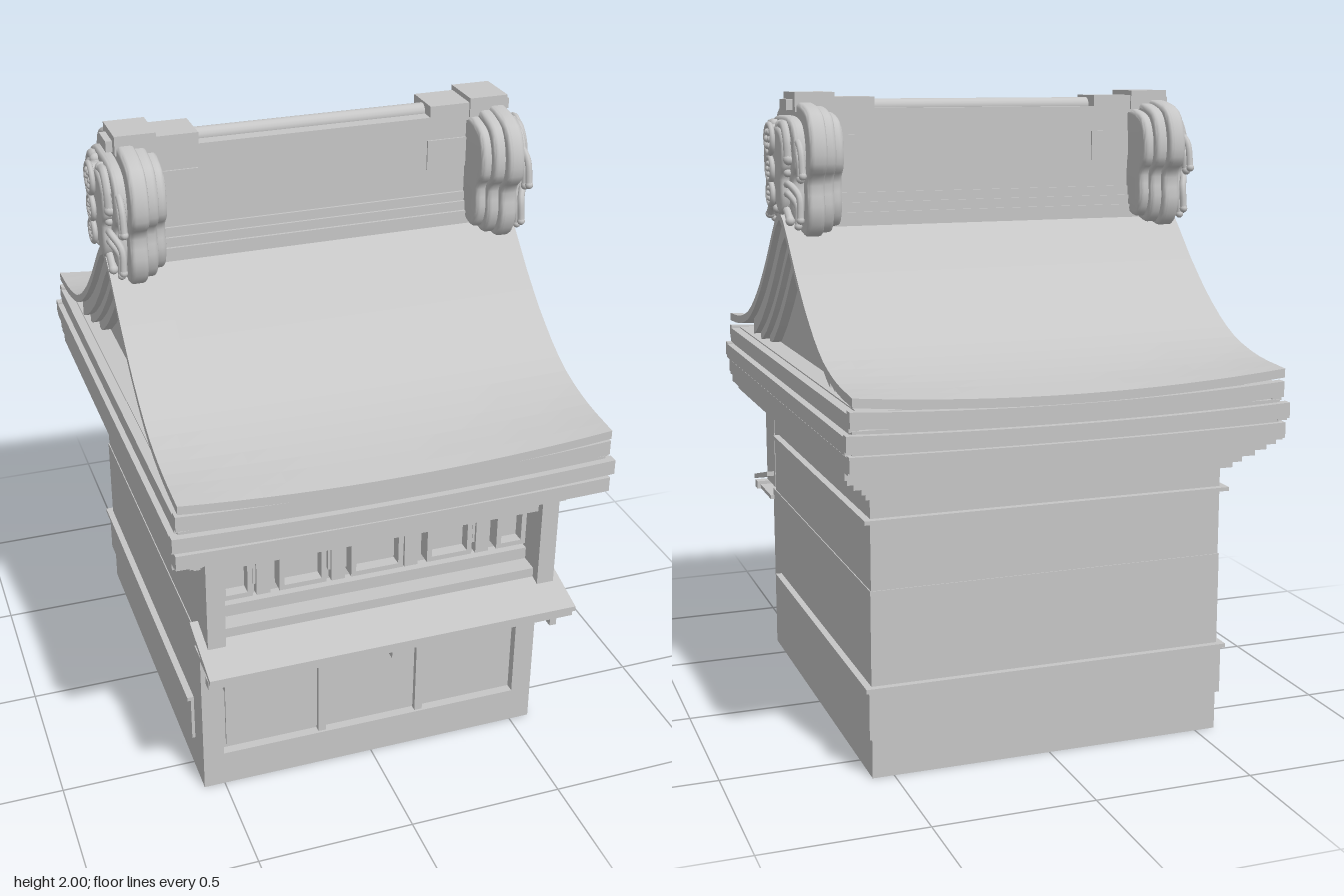
import * as THREE from 'three';
import { toCreasedNormals } from 'three/addons/utils/BufferGeometryUtils.js';

const plaster = new THREE.MeshStandardMaterial({ color: 0xc6c6c6 });
plaster.name = 'plain grey';

function add(parent, name, geometry) {
  const mesh = new THREE.Mesh(geometry, plaster);
  mesh.name = name;
  parent.add(mesh);
  return mesh;
}

// Box given by its limits on each axis
function box(parent, name, x0, x1, y0, y1, z0, z1) {
  const g = new THREE.BoxGeometry(x1 - x0, y1 - y0, z1 - z0);
  g.translate((x0 + x1) / 2, (y0 + y1) / 2, (z0 + z1) / 2);
  return add(parent, name, g);
}

// Solid from a (z, y) outline, running along x from x0 to x1
function slice(points, x0, x1, steps = 1, bevel = 0) {
  const shape = new THREE.Shape(points.map(([z, y]) => new THREE.Vector2(z, y)));
  const g = new THREE.ExtrudeGeometry(shape, {
    depth: x1 - x0 - 2 * bevel, steps, bevelEnabled: bevel > 0, bevelSize: bevel,
    bevelThickness: bevel, bevelOffset: -bevel, bevelSegments: 3,
  });
  g.translate(0, 0, bevel - (x1 - x0) / 2);
  g.rotateY(-Math.PI / 2);
  g.translate((x0 + x1) / 2, 0, 0);
  return bevel ? toCreasedNormals(g, 0.7) : g;
}

// Moves vertices up by a rule of x and z
function lift(g, rule) {
  const p = g.attributes.position;
  for (let i = 0; i < p.count; i++) p.setY(i, p.getY(i) + rule(p.getX(i), p.getZ(i)));
  g.computeVertexNormals();
  return g;
}

// Concave roof line
const roofLine = [[0, 1.635], [0.05, 1.61], [0.1, 1.565], [0.2, 1.465], [0.3, 1.378], [0.4, 1.307],
  [0.5, 1.252], [0.6, 1.222], [0.7, 1.205], [0.835, 1.197]];
function roofY(z) {
  const a = Math.abs(z);
  for (let i = 1; i < roofLine.length; i++) {
    const [z0, y0] = roofLine[i - 1], [z1, y1] = roofLine[i];
    if (a <= z1) return y0 + (y1 - y0) * (a - z0) / (z1 - z0);
  }
  return 1.197;
}

// Band following the roof line between two drops, cut off at a floor
function roofBand(reach, dropTop, dropBottom, floor) {
  const n = 32, top = [], bottom = [];
  for (let i = 0; i <= n; i++) {
    const z = reach * (1 - 2 * i / n);
    top.push([z, Math.max(floor + 0.001, roofY(z) - dropTop)]);
    bottom.unshift([z, Math.max(floor, roofY(z) - dropBottom)]);
  }
  return [...top, ...bottom];
}

function buildBody(model) {
  const body = new THREE.Group();
  body.name = 'body';
  model.add(body);
  box(body, 'lowerWalls', -0.567, 0.567, 0, 0.58, -0.64, 0.6);
  box(body, 'upperWalls', -0.564, 0.564, 0.58, 0.9, -0.637, 0.6);

  // Front panel surround with its recess
  const front = new THREE.Shape([[-0.567, 0], [0.567, 0], [0.567, 0.58], [-0.567, 0.58]].map(p => new THREE.Vector2(...p)));
  front.holes.push(new THREE.Path([[-0.5, 0.12], [-0.5, 0.51], [0.5, 0.51], [0.5, 0.12]].map(p => new THREE.Vector2(...p))));
  const surround = new THREE.ExtrudeGeometry(front, { depth: 0.03, bevelEnabled: false });
  surround.translate(0, 0, 0.6);
  add(body, 'frontSurround', surround);
  for (const x of [-0.167, 0.167]) box(body, 'frontMullion', x - 0.013, x + 0.013, 0.12, 0.51, 0.6, 0.622);
  for (const x of [-0.333, 0, 0.333]) {
    box(body, 'frontPanel', x - 0.152, x + 0.152, 0.135, 0.495, 0.6, 0.608);
  }

  // Skirting panels and rails around sides and back
  for (const s of [-1, 1]) {
    const side = (name, y0, y1, out) =>
      box(body, name, s > 0 ? 0.56 : -out, s > 0 ? out : -0.56, y0, y1, -out - 0.073, 0.53);
    side('sideSkirting', 0.125, 0.275, 0.577);
    side('sideRail', 0.275, 0.288, 0.588);
    side('upperSideRail', 0.786, 0.798, 0.586);
  }
  box(body, 'backSkirting', -0.577, 0.577, 0.125, 0.275, -0.65, -0.63);
  box(body, 'backRail', -0.588, 0.588, 0.275, 0.288, -0.661, -0.63);
  box(body, 'upperBackRail', -0.586, 0.586, 0.786, 0.798, -0.659, -0.63);
}

function buildPorch(model) {
  const porch = new THREE.Group();
  porch.name = 'porch';
  model.add(porch);
  for (const s of [-1, 1]) box(porch, 'post', s * 0.538 - 0.028, s * 0.538 + 0.028, 0.59, 0.96, 0.6, 0.732);
  box(porch, 'header', -0.51, 0.51, 0.87, 0.93, 0.6, 0.705);
  box(porch, 'headerMoulding', -0.51, 0.51, 0.915, 0.94, 0.6, 0.722);
  box(porch, 'sill', -0.51, 0.51, 0.6, 0.655, 0.6, 0.7);
  box(porch, 'innerSill', -0.51, 0.51, 0.655, 0.695, 0.6, 0.64);

  // Framed windows between hanging brackets
  for (const [x, w] of [[-0.45, 0.1], [-0.24, 0.15], [0, 0.17], [0.24, 0.15], [0.45, 0.1]]) {
    box(porch, 'windowPane', x - w / 2, x + w / 2, 0.72, 0.87, 0.6, 0.612);
    box(porch, 'windowFoot', x - w / 2, x + w / 2, 0.72, 0.736, 0.6, 0.65);
    for (const s of [-1, 1]) {
      const e = x + s * (w / 2 - 0.008);
      box(porch, 'windowStile', e - 0.008, e + 0.008, 0.736, 0.87, 0.6, 0.65);
    }
  }
  for (const x of [-0.36, -0.12, 0.12, 0.36]) {
    box(porch, 'bracket', x - 0.022, x + 0.022, 0.705, 0.87, 0.6, 0.63);
    box(porch, 'bracketCap', x - 0.03, x + 0.03, 0.74, 0.87, 0.6, 0.62);
  }

  // Sloping counter on a frame with small supports
  add(porch, 'counter', slice([[0.843, 0.568], [0.843, 0.585], [0.62, 0.645], [0.62, 0.628]], -0.592, 0.592));
  box(porch, 'counterShelf', -0.58, 0.58, 0.542, 0.556, 0.62, 0.82);
  box(porch, 'counterRail', -0.592, 0.592, 0.54, 0.568, 0.79, 0.825);
  for (const x of [-0.53, 0, 0.53]) box(porch, 'counterSupport', x - 0.011, x + 0.011, 0.513, 0.545, 0.62, 0.82);
}

function buildEaves(model) {
  const eaves = new THREE.Group();
  eaves.name = 'eaves';
  model.add(eaves);
  [[0.587, 0.675], [0.605, 0.7], [0.635, 0.725], [0.66, 0.75], [0.675, 0.78]].forEach(([x, z], i) => {
    const y = 0.865 + i * 0.0225;
    box(eaves, 'eaveStep', -x, x, y, y + 0.0225, -z, z);
  });
  box(eaves, 'eaveCore', -0.662, 0.662, 0.977, 1.1, -0.815, 0.815);
  box(eaves, 'eaveTop', -0.64, 0.64, 1.1, 1.15, -0.8, 0.8);

  // Layered fascia boards, bowed upward at the corners on front and back
  [[0.977, 0.675, 0.832], [1.037, 0.685, 0.837], [1.096, 0.67, 0.825]].forEach(([y, x, z], i) => {
    const h = 0.047, bow = 0.008 + 0.007 * i;
    for (const s of [-1, 1]) {
      const a = s > 0 ? z - 0.03 : -z, b = a + 0.03;
      const board = slice([[a, y], [b, y], [b, y + h], [a, y + h]], -x, x, 16);
      add(eaves, 'bowedFascia', lift(board, px => bow * ((px / x) ** 2 - (i ? 0.4 : 0))));
      box(eaves, 'sideFascia', s > 0 ? x - 0.03 : -x, s > 0 ? x : 0.03 - x, y, y + 0.05, 0.015 - z, z - 0.015);
    }
  });
}

function buildRoof(model) {
  const roof = new THREE.Group();
  roof.name = 'roof';
  model.add(roof);
  const shell = slice(roofBand(0.835, 0, 0.027, 0), -0.665, 0.665, 16);
  add(roof, 'roofShell', lift(shell, (x, z) => -0.032 * (1 - (x / 0.665) ** 2) * (Math.abs(z) / 0.835) ** 3));

  // Stepped barge boards and gable wall at each end
  for (const s of [-1, 1]) {
    [[0.52, 0.025, 0.078, 0.645], [0.5, 0.07, 0.11, 0.625], [0.45, 0.105, 0.15, 0.605]].forEach(([reach, a, b, x]) => {
      const [x0, x1] = s > 0 ? [x - 0.04, x] : [-x, 0.04 - x];
      add(roof, 'bargeBoard', slice(roofBand(reach, a, b, 1.15), x0, x1));
    });
    add(roof, 'gableWall', slice([[0.46, 1.14], [0, 1.56], [-0.46, 1.14]], s > 0 ? 0.54 : -0.575, s > 0 ? 0.575 : -0.54));
  }
}

function buildRidge(model) {
  const ridge = new THREE.Group();
  ridge.name = 'ridge';
  model.add(ridge);
  [[0.075, 1.56, 1.63], [0.066, 1.63, 1.66], [0.058, 1.66, 1.69], [0.05, 1.69, 1.95], [0.068, 1.93, 1.95]]
    .forEach(([z, y0, y1]) => box(ridge, 'ridgeCourse', -0.57, 0.57, y0, y1, -z, z));
  const bead = new THREE.CylinderGeometry(0.025, 0.025, 1, 16);
  bead.rotateZ(Math.PI / 2).translate(0, 1.953, 0);
  add(ridge, 'ridgeBead', bead);
  for (const s of [-1, 1]) {
    const end = (name, a, b, y0, y1, z) => box(ridge, name, s > 0 ? a : -b, s > 0 ? b : -a, y0, y1, -z, z);
    end('ridgeSaddle', 0.37, 0.52, 1.95, 1.985, 0.068);
    end('ridgeCap', 0.5, 0.625, 1.94, 2, 0.075);
    end('ridgeCapLip', 0.6, 0.645, 1.945, 1.978, 0.045);
    end('ridgeSideBar', 0.37, 0.52, 1.775, 1.87, 0.056);
  }
}

// Carved end ornament facing +x
function buildOrnament() {
  const ornament = new THREE.Group();
  ornament.name = 'ridgeOrnament';
  const half = [[0.11, 1.965], [0.2, 1.935], [0.24, 1.86], [0.237, 1.78], [0.2, 1.735], [0.205, 1.64], [0.165, 1.57], [0.09, 1.575]];
  const outline = [[0, 1.97], ...half, [0, 1.62], ...half.slice().reverse().map(([z, y]) => [-z, y])];
  const curve = new THREE.CatmullRomCurve3(outline.map(([z, y]) => new THREE.Vector3(z, y, 0)), true);
  const lobes = (k, m) => curve.getPoints(56).slice(0, -1).map(p => [p.x * k, 1.765 + (p.y - 1.765) * m]).reverse();
  // Thickness layers, widest in the middle
  [[0.5, 0.54, 0.78, 0.86], [0.53, 0.58, 0.88, 0.95], [0.565, 0.62, 1, 1], [0.61, 0.655, 0.76, 0.8], [0.64, 0.682, 0.55, 0.66]]
    .forEach(([x0, x1, k, m]) => add(ornament, 'ornamentLayer', slice(lobes(k, m), x0, x1, 1, 0.014)));

  // Medallions down the centre
  for (const [y, r] of [[1.857, 0.045], [1.765, 0.036], [1.69, 0.034]]) {
    const disc = new THREE.CylinderGeometry(r, r, 0.03, 20);
    disc.rotateZ(Math.PI / 2).translate(0.677, y, 0);
    add(ornament, 'medallion', disc);
    const rim = new THREE.TorusGeometry(r, 0.009, 8, 20);
    rim.rotateY(Math.PI / 2).translate(0.69, y, 0);
    add(ornament, 'medallionRim', rim);
    for (let i = 0; i < 6; i++) {
      const bead = new THREE.SphereGeometry(r * 0.24, 8, 6);
      bead.translate(0.692, y + r * 0.55 * Math.sin(i * Math.PI / 3), r * 0.55 * Math.cos(i * Math.PI / 3));
      add(ornament, 'medallionBead', bead);
    }
  }

  // Curled scrolls, brows and mouth on both sides
  const curls = [
    [0.011, [[0.1, 1.83], [0.16, 1.855], [0.21, 1.83], [0.23, 1.755]]],
    [0.012, [[0.1, 1.81], [0.155, 1.83], [0.19, 1.8], [0.203, 1.745]]],
    [0.011, [[0.09, 1.72], [0.14, 1.725], [0.18, 1.69], [0.19, 1.62]]],
    [0.011, [[0.09, 1.69], [0.13, 1.695], [0.155, 1.66], [0.16, 1.6]]],
    [0.015, [[0.04, 1.9], [0.09, 1.9], [0.125, 1.86], [0.135, 1.8]]],
    [0.013, [[0.03, 1.64], [0.07, 1.65], [0.11, 1.64], [0.14, 1.615]]],
    [0.012, [[0.04, 1.73], [0.07, 1.75], [0.1, 1.77], [0.12, 1.76]]],
  ];
  for (const s of [-1, 1]) for (const [r, pts] of curls) {
    const path = new THREE.CatmullRomCurve3(pts.map(([z, y]) => new THREE.Vector3(z > 0.15 ? 0.642 : 0.662, y, s * z)));
    add(ornament, 'scroll', new THREE.TubeGeometry(path, 14, r, 8));
    for (const t of [0, 1]) {
      const tip = add(ornament, 'scrollTip', new THREE.SphereGeometry(r * 1.15, 10, 8));
      tip.position.copy(path.getPoint(t));
    }
  }
  return ornament;
}

export function createModel() {
  const model = new THREE.Group();
  model.name = 'gabledShrine';
  buildBody(model);
  buildPorch(model);
  buildEaves(model);
  buildRoof(model);
  buildRidge(model);
  for (const turn of [0, Math.PI]) {
    const ornament = buildOrnament();
    ornament.rotation.y = turn;
    model.add(ornament);
  }
  return model;
}
